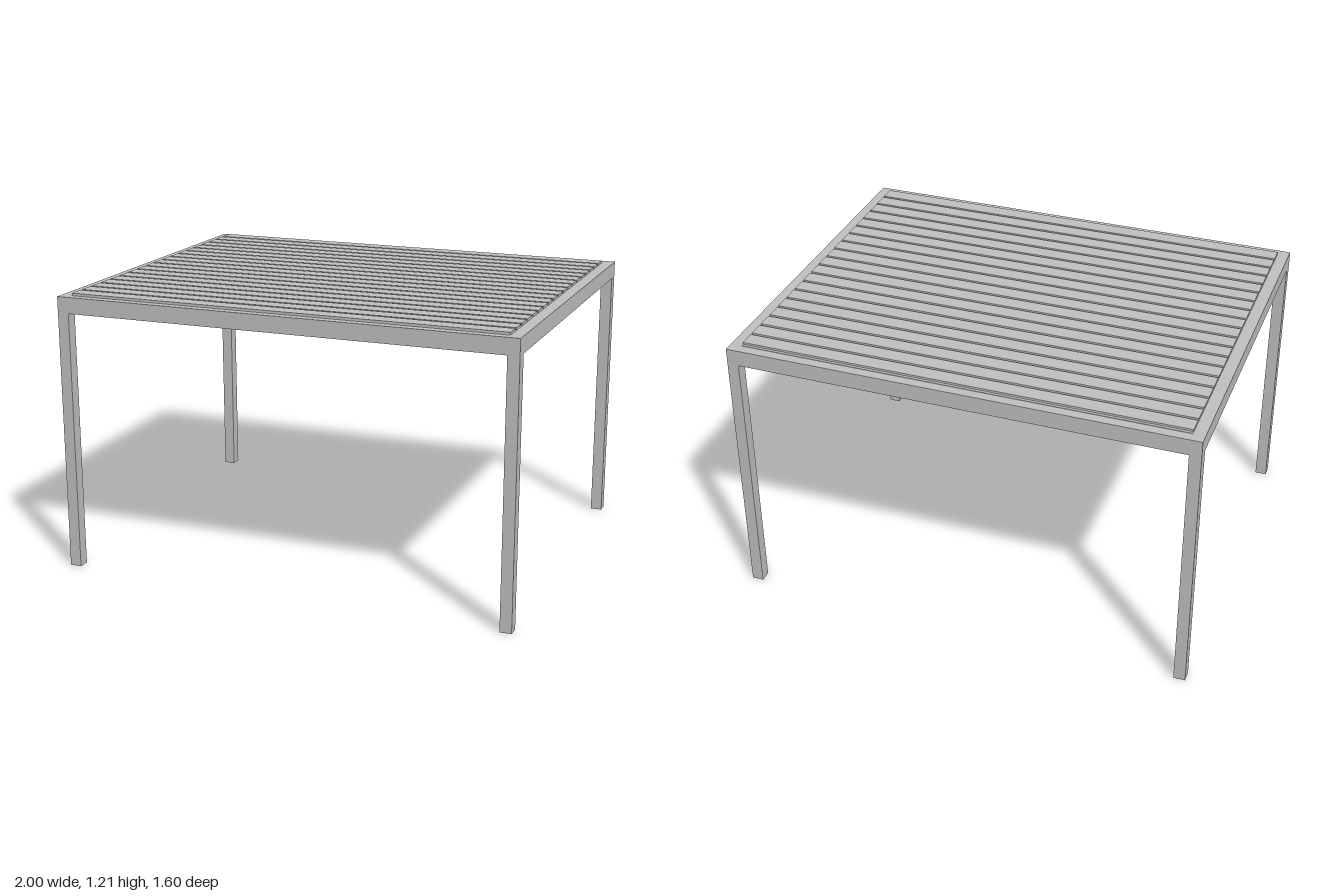
import * as THREE from 'three';

const grey = new THREE.MeshStandardMaterial({ color: 0xc0c0c0 });
grey.name = 'grey metal';

function add(group, name, geometry, x = 0, y = 0, z = 0) {
  const mesh = new THREE.Mesh(geometry, grey);
  mesh.name = name;
  mesh.position.set(x, y, z);
  group.add(mesh);
  return mesh;
}

// Closed rectangle outline, half sizes w and d
const rect = (w, d) => [[-w, -d], [w, -d], [w, d], [-w, d]].map(([x, y]) => new THREE.Vector2(x, y));

export function createModel() {
  const model = new THREE.Group();
  model.name = 'pergola';

  const W = 1, D = 0.8, T = 0.05, top = 1.2, beamBottom = 1.13;

  // Four square posts
  for (const sx of [-1, 1]) {
    for (const sz of [-1, 1]) {
      add(model, 'post', new THREE.BoxGeometry(T, beamBottom, T),
        sx * (W - T / 2), beamBottom / 2, sz * (D - T / 2));
    }
  }

  // Rectangular beam frame flush with the posts
  const frame = new THREE.Shape(rect(W, D));
  frame.holes.push(new THREE.Path(rect(W - T, D - T)));
  const frameGeometry = new THREE.ExtrudeGeometry(frame, { depth: top - beamBottom, bevelEnabled: false });
  frameGeometry.rotateX(-Math.PI / 2);
  add(model, 'beamFrame', frameGeometry, 0, beamBottom, 0);

  // Ledges inside the front and back beams that carry the roof
  for (const sz of [-1, 1]) {
    add(model, 'ledge', new THREE.BoxGeometry(2 * (W - T), 0.034, 0.04), 0, 1.182, sz * 0.73);
  }

  // Slat cross-section: a flat body with a thin tongue under the joint to the next slat
  const pitch = 0.08, body = 0.068, thick = 0.012, tongue = 0.003;
  const section = new THREE.Shape([
    [0, 0], [pitch, 0], [pitch, tongue], [body, tongue], [body, thick], [0, thick],
  ].map(([x, y]) => new THREE.Vector2(x, y)));
  const slat = new THREE.ExtrudeGeometry(section, { depth: 2 * (W - T), bevelEnabled: false });
  slat.translate(0, 0, -(W - T));
  slat.rotateY(Math.PI / 2); // section runs towards the back, length along x

  const roof = new THREE.Group();
  roof.name = 'louvreRoof';
  for (let i = 0; i < 19; i++) add(roof, 'slat', slat, 0, 1.199, 0.763 - i * pitch);
  model.add(roof);

  return model;
}
